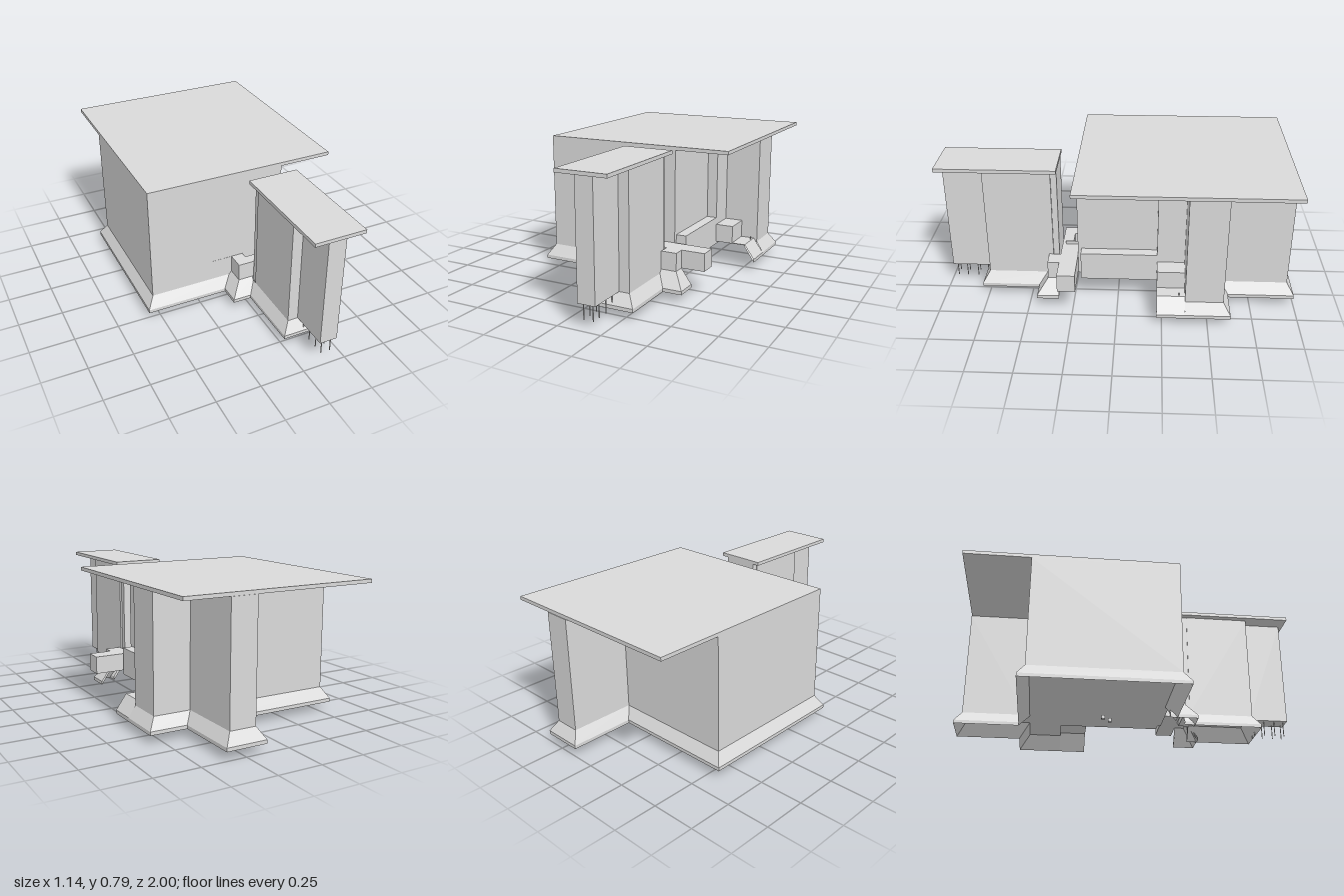
import * as THREE from 'three';

export function createModel() {
  const model = new THREE.Group();
  const stone = new THREE.MeshStandardMaterial({ color: 0xdadada, flatShading: true, side: THREE.DoubleSide });
  stone.name = 'paleGrey';

  const add = (name, geometry) => {
    const mesh = new THREE.Mesh(geometry, stone);
    mesh.name = name;
    model.add(mesh);
    return mesh;
  };

  // box from its lower and upper limits on each axis
  const box = (name, x0, x1, y0, y1, z0, z1) =>
    add(name, new THREE.BoxGeometry(x1 - x0, y1 - y0, z1 - z0))
      .position.set((x0 + x1) / 2, (y0 + y1) / 2, (z0 + z1) / 2);

  // upright prism over an [x, z] footprint
  const prism = (name, plan, y0, y1) => {
    const shape = new THREE.Shape(plan.map(([x, z]) => new THREE.Vector2(x, -z)));
    const geometry = new THREE.ExtrudeGeometry(shape, { depth: y1 - y0, bevelEnabled: false });
    geometry.rotateX(-Math.PI / 2).translate(0, y0, 0);
    add(name, geometry);
  };

  // skirt along an axis-aligned [x, z] path, one mesh per band of the
  // profile, whose points are [outward offset, y]
  const skirt = (name, path, profile) => {
    const normals = path.slice(1).map(([x, z], i) =>
      [Math.sign(z - path[i][1]), -Math.sign(x - path[i][0])]);
    const point = (i, [out, y]) => {
      const near = [normals[i - 1], normals[i]].filter(Boolean);
      const nx = near.reduce((s, n) => s + n[0], 0);
      const nz = near.reduce((s, n) => s + n[1], 0);
      return [path[i][0] + nx * out, y, path[i][1] + nz * out];
    };
    for (let k = 0; k < profile.length - 1; k++) {
      const positions = [];
      for (let i = 0; i < path.length - 1; i++) {
        const a = point(i, profile[k]), b = point(i + 1, profile[k]);
        const c = point(i + 1, profile[k + 1]), d = point(i, profile[k + 1]);
        positions.push(...a, ...b, ...c, ...a, ...c, ...d);
      }
      const geometry = new THREE.BufferGeometry();
      geometry.setAttribute('position', new THREE.Float32BufferAttribute(positions, 3));
      geometry.computeVertexNormals();
      add(name, geometry);
    }
  };

  // outer slope, rim, then the inner slope back up to the floor
  const wallFoot = [[0, 0.128], [0.04, 0.065], [0.04, 0.045], [-0.02, 0.128]];
  const pierFoot = [[0, 0.148], [0.06, 0.065], [0.06, 0.045], [-0.01, 0.148]];

  // main building with its stepped side and rear bay
  prism('mainWalls', [
    [-0.53, 0.23], [0.265, 0.23], [0.265, -0.22], [0.325, -0.22], [0.325, -0.375], [0.53, -0.375],
    [0.53, -0.585], [0.32, -0.585], [0.32, -0.958], [0.17, -0.958], [0.17, -0.585], [-0.53, -0.585],
  ], 0.128, 0.77);
  box('mainRoof', -0.53, 0.57, 0.77, 0.79, -0.955, 0.23);
  skirt('mainSkirt', [
    [-0.04, 0.23], [-0.53, 0.23], [-0.53, -0.585], [0.17, -0.585], [0.17, -0.958],
    [0.32, -0.958], [0.32, -0.585], [0.53, -0.585], [0.53, -0.375],
  ], wallFoot);
  box('frontPanel', -0.16, -0.04, 0.13, 0.25, 0.229, 0.231);

  // front tower with a narrow front bay and a shallow rear one
  box('towerWalls', 0.046, 0.265, 0.128, 0.77, 0.37, 0.745);
  box('towerBay', 0.105, 0.206, 0.128, 0.77, 0.745, 0.975);
  box('towerRearBay', 0.05, 0.255, 0.128, 0.77, 0.337, 0.37);
  box('towerRoof', 0.01, 0.298, 0.77, 0.79, 0.335, 1.0);
  skirt('towerSkirt', [[0.265, 0.395], [0.265, 0.745], [0.046, 0.745], [0.046, 0.33]], wallFoot);

  // thin posts under the bay
  for (const x of [0.128, 0.182]) {
    for (const z of [0.955, 0.9, 0.837, 0.775]) {
      box('bayPost', x - 0.002, x + 0.002, 0.04, 0.135, z - 0.002, z + 0.002);
    }
  }

  // link between the tower and the main building, with a gap left open
  prism('link', [
    [-0.04, 0.23], [-0.04, 0.33], [0.265, 0.33], [0.265, 0.395], [0.355, 0.395], [0.355, 0.33],
    [0.49, 0.33], [0.49, 0.23], [0.15, 0.23], [0.15, 0.268], [0.03, 0.268], [0.03, 0.23],
  ], 0.148, 0.25);
  box('linkFin', 0.149, 0.153, 0.25, 0.27, 0.23, 0.31);
  skirt('leftPierSkirt', [[0.046, 0.33], [-0.04, 0.33], [-0.04, 0.23]], pierFoot);
  skirt('rightPierSkirt', [[0.355, 0.33], [0.355, 0.395], [0.265, 0.395]], pierFoot);

  // low wall and terrace on the open side
  box('lowWall', 0.265, 0.325, 0.128, 0.292, -0.22, 0.21);
  box('terraceFloor', 0.325, 0.51, 0.144, 0.148, -0.375, -0.22);
  box('terraceBlock', 0.325, 0.43, 0.148, 0.25, -0.375, -0.22);
  box('terracePeg', 0.498, 0.503, 0.148, 0.165, -0.345, -0.34);
  skirt('terraceSkirt', [[0.51, -0.375], [0.51, -0.22]], pierFoot);

  // two small loose blocks beneath the floor
  for (const [x, z] of [[-0.147, -0.155], [-0.105, -0.115]]) {
    box('smallBlock', x - 0.01, x + 0.01, 0, 0.02, z - 0.01, z + 0.01);
  }
  return model;
}
